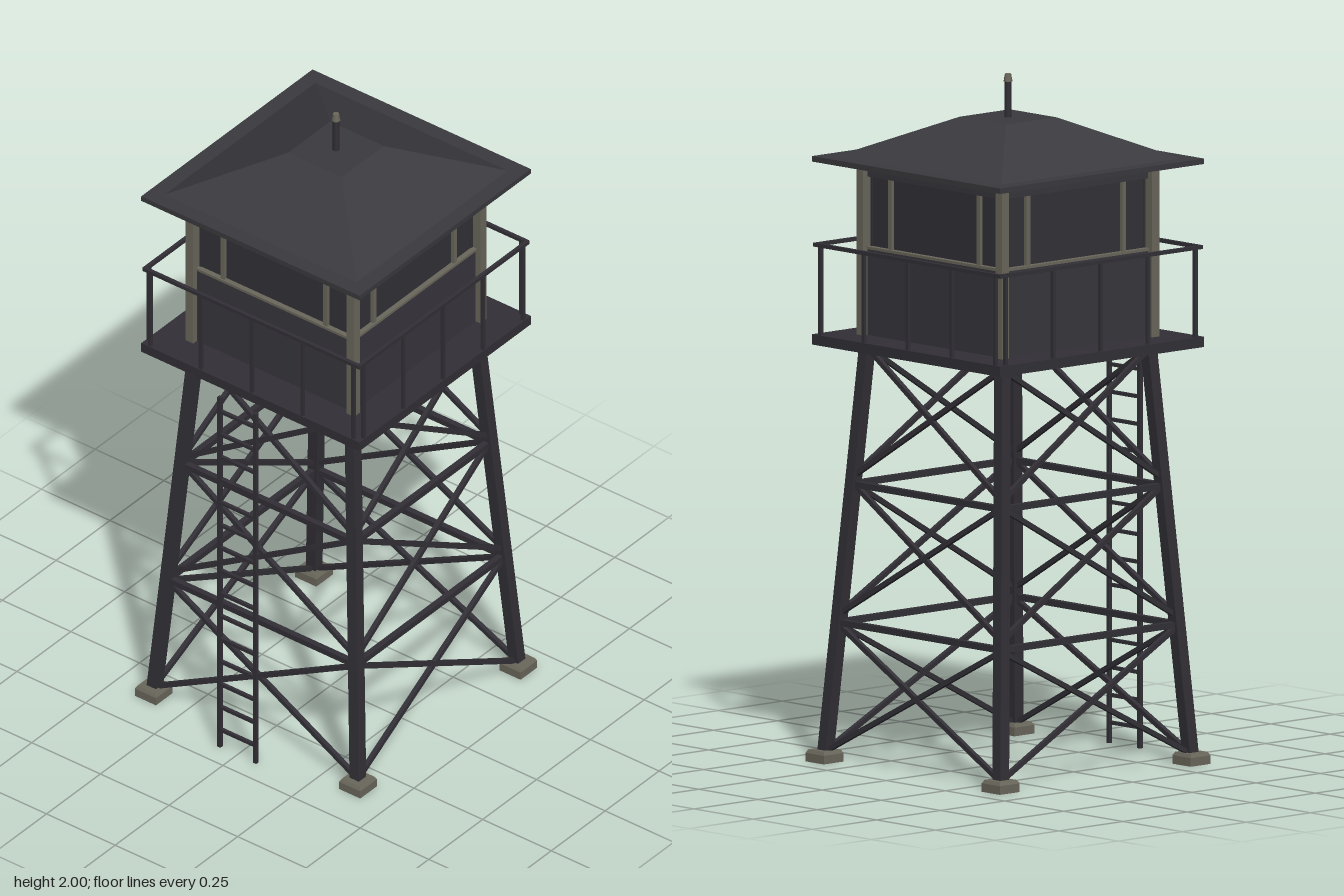
import * as THREE from 'three';

const mat = (name, color) => {
  const m = new THREE.MeshStandardMaterial({ color });
  m.name = name;
  return m;
};

export function createModel() {
  const metal = mat('darkMetal', 0x323036);
  const wall = mat('wallPanel', 0x38363d);
  const roofing = mat('roofing', 0x3a3a3f);
  const glass = mat('darkWindow', 0x323137);
  const trim = mat('greyTrim', 0x6a675b);

  const model = new THREE.Group();
  model.name = 'watchtower';
  const tower = new THREE.Group();
  tower.name = 'tower';
  tower.position.z = -0.025;
  model.add(tower);

  const add = (parent, name, geo, material, x = 0, y = 0, z = 0) => {
    const m = new THREE.Mesh(geo, material);
    m.name = name;
    m.position.set(x, y, z);
    parent.add(m);
    return m;
  };
  const box = (parent, name, material, w, h, d, x, y, z) =>
    add(parent, name, new THREE.BoxGeometry(w, h, d), material, x, y, z);
  // Square bar running between two points
  const up = new THREE.Vector3(0, 1, 0);
  const beam = (parent, name, a, b, t) => {
    const dir = b.clone().sub(a);
    const m = add(parent, name, new THREE.BoxGeometry(t, dir.length(), t), metal);
    m.position.copy(a).add(b).multiplyScalar(0.5);
    m.quaternion.setFromUnitVectors(up, dir.normalize());
  };
  // Square frustum with faces parallel to x and z
  const frustum = (bottom, top, h) => {
    const g = new THREE.CylinderGeometry(top * Math.SQRT2, bottom * Math.SQRT2, h, 4, 1).toNonIndexed();
    g.rotateY(Math.PI / 4);
    g.computeVertexNormals();
    return g;
  };

  // Splayed legs on footings
  const legHalf = (y) => 0.372 - (0.087 * y) / 1.21;
  const corner = (sx, y, sz) => new THREE.Vector3(sx * legHalf(y), y, sz * legHalf(y));
  for (const sx of [-1, 1]) for (const sz of [-1, 1]) {
    beam(tower, 'leg', corner(sx, 0.015, sz), corner(sx, 1.215, sz), 0.034);
    box(tower, 'footing', trim, 0.077, 0.025, 0.077, sx * 0.372, 0.0125, sz * 0.372);
    add(tower, 'footingTop', frustum(0.0385, 0.033, 0.01), trim, sx * 0.372, 0.03, sz * 0.372);
  }

  // Each side repeats: bracing, railing and cabin wall
  for (let i = 0; i < 4; i++) {
    const side = new THREE.Group();
    side.name = 'side' + (i + 1);
    side.rotation.y = (i * Math.PI) / 2;
    tower.add(side);

    for (const [y0, y1] of [[0.03, 0.4], [0.43, 0.81], [0.83, 1.205]]) {
      beam(side, 'crossBrace', corner(-1, y0, 1), corner(1, y1, 1), 0.014);
      beam(side, 'crossBrace', corner(1, y0, 1), corner(-1, y1, 1), 0.014);
    }
    for (const y of [0.405, 0.807])
      beam(side, 'horizontalBrace', corner(-1, y, 1), corner(1, y, 1), 0.018);

    box(side, 'handrail', metal, 0.79, 0.011, 0.011, 0, 1.5, 0.39);
    for (let k = -2; k <= 2; k++)
      box(side, 'railPost', metal, 0.01, 0.26, 0.01, k * 0.185, 1.37, 0.39);

    box(side, 'lowerWall', wall, 0.57, 0.25, 0.02, 0, 1.365, 0.28);
    box(side, 'windowBand', glass, 0.56, 0.21, 0.008, 0, 1.595, 0.274);
    box(side, 'header', wall, 0.57, 0.045, 0.02, 0, 1.7225, 0.28);
    box(side, 'windowSill', trim, 0.57, 0.008, 0.026, 0, 1.494, 0.281);
    for (const s of [-1, 1])
      box(side, 'mullion', trim, 0.014, 0.21, 0.018, s * 0.187, 1.597, 0.28);
    box(side, 'cornerPost', trim, 0.028, 0.505, 0.028, 0.293, 1.4925, 0.293);
  }

  // Platform deck
  box(tower, 'platform', metal, 0.795, 0.03, 0.795, 0, 1.225, 0);

  // Roof with flat eaves and a truncated hip
  box(tower, 'eaves', roofing, 0.795, 0.016, 0.795, 0, 1.749, 0);
  add(tower, 'hipRoof', frustum(0.35, 0.098, 0.117), roofing, 0, 1.8155, 0);

  // Vent pipe
  add(tower, 'ventPipe', new THREE.CylinderGeometry(0.01, 0.01, 0.115, 10), metal, 0, 1.925, 0);
  add(tower, 'ventCap', new THREE.CylinderGeometry(0.009, 0.013, 0.022, 10), trim, 0, 1.989, 0);

  // Free-standing ladder in front
  const ladder = new THREE.Group();
  ladder.name = 'ladder';
  ladder.position.z = 0.43;
  model.add(ladder);
  for (const s of [-1, 1])
    box(ladder, 'ladderRail', metal, 0.012, 1.23, 0.012, s * 0.065, 0.615, 0);
  for (let i = 0; i < 15; i++)
    box(ladder, 'rung', metal, 0.13, 0.01, 0.01, 0, 0.06 + i * 0.08, 0);

  return model;
}
